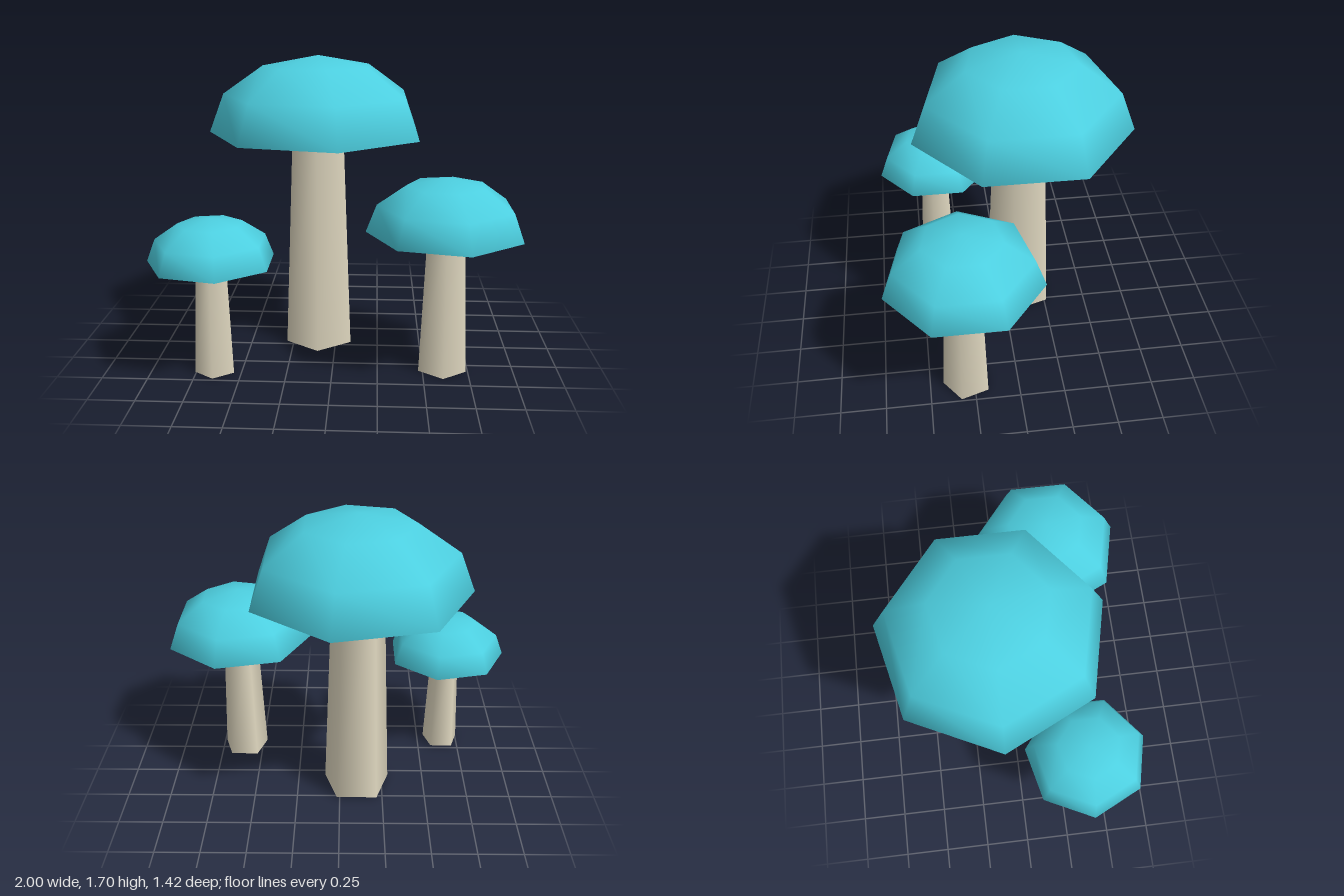
import * as THREE from 'three';

const stemMaterial = new THREE.MeshStandardMaterial({ name: 'paleStem', color: 0xe0d8c0 });
const capMaterial = new THREE.MeshStandardMaterial({ name: 'cyanCap', color: 0x4dd0e1, side: THREE.DoubleSide });

// One mushroom: tapered five-sided stem under an open, flattened seven-sided dome
function makeMushroom(name, { x, z, height, capRadius, stemTop, stemBase }) {
  const mushroom = new THREE.Group();
  mushroom.name = name;
  mushroom.position.set(x, 0, z);

  const stem = new THREE.Mesh(new THREE.CylinderGeometry(stemTop, stemBase, height, 5), stemMaterial);
  stem.name = 'stem';
  stem.position.y = height / 2;

  const dome = new THREE.SphereGeometry(capRadius, 7, 3, 0, Math.PI * 2, 0, Math.PI / 2);
  dome.scale(1, 0.7, 1);
  const cap = new THREE.Mesh(dome, capMaterial);
  cap.name = 'cap';
  cap.position.y = height;

  mushroom.add(stem, cap);
  return mushroom;
}

export function createModel() {
  const model = new THREE.Group();
  model.name = 'mushroomCluster';
  model.add(
    makeMushroom('tallMushroom', { x: -0.1, z: -0.103, height: 1.26, capRadius: 0.624, stemTop: 0.152, stemBase: 0.2 }),
    makeMushroom('mediumMushroom', { x: 0.608, z: 0.288, height: 0.79, capRadius: 0.43, stemTop: 0.105, stemBase: 0.138 }),
    makeMushroom('smallMushroom', { x: -0.648, z: 0.368, height: 0.633, capRadius: 0.352, stemTop: 0.086, stemBase: 0.113 }),
  );
  return model;
}
